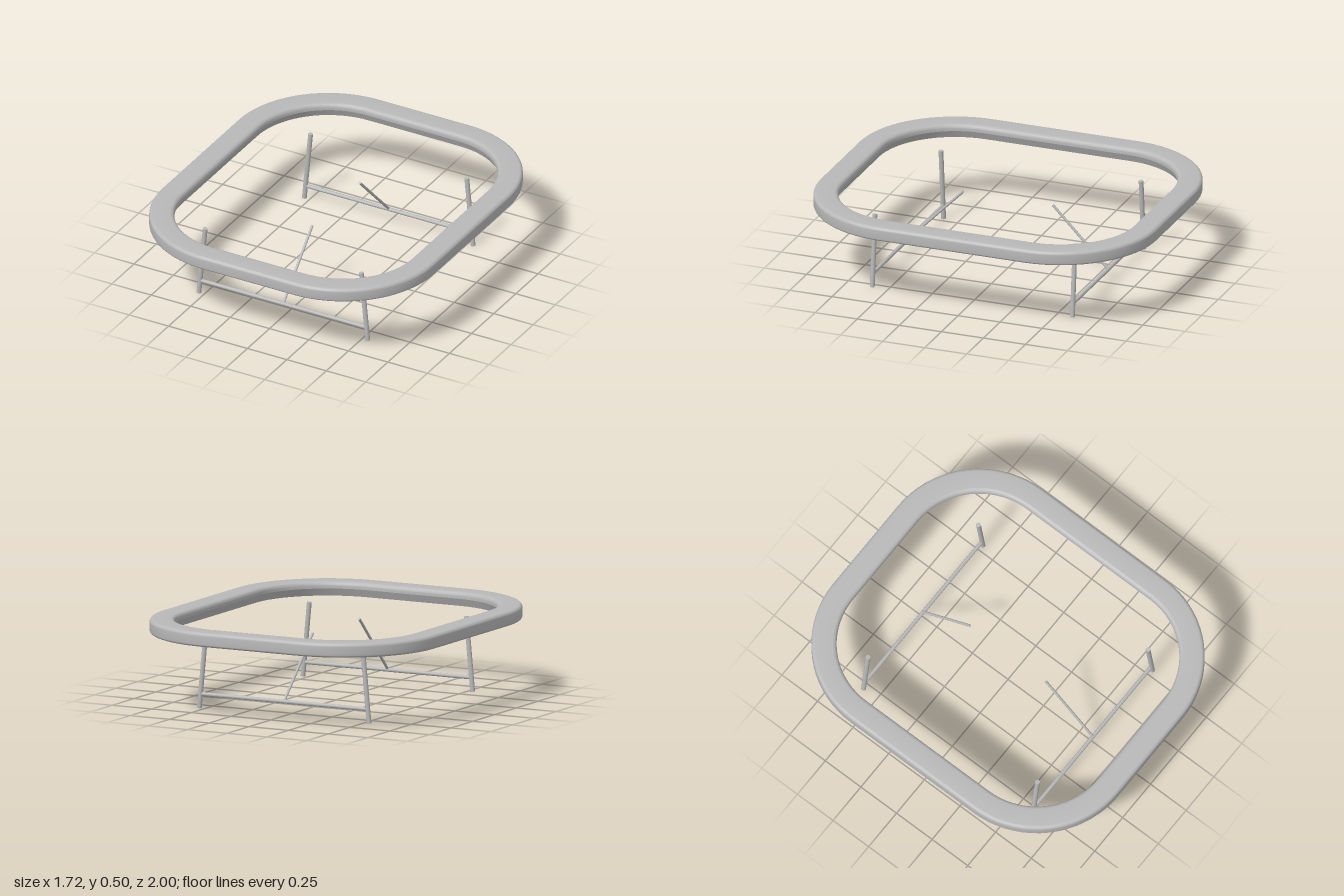
import * as THREE from 'three';
import { toCreasedNormals } from 'three/addons/utils/BufferGeometryUtils.js';

const frameGrey = new THREE.MeshStandardMaterial({ color: 0xb8b8b8 });
frameGrey.name = 'frame grey';

// Points along a quarter round, in (radius, height)
function fillet(cx, cy, r, start) {
  const pts = [];
  for (let i = 0; i <= 6; i++) {
    const a = start + (i / 6) * Math.PI / 2;
    pts.push([cx + r * Math.cos(a), cy + r * Math.sin(a)]);
  }
  return pts;
}

// Rounded rectangular ring: a moulded section swept round four corner centres
function rimGeometry() {
  const profile = [
    [0.45, 0.42],
    ...fillet(0.555, 0.435, 0.015, -Math.PI / 2),
    ...fillet(0.55, 0.48, 0.02, 0),
    ...fillet(0.453, 0.477, 0.023, Math.PI / 2),
    [0.43, 0.463],
  ];
  const centres = [[0.29, 0.43], [-0.29, 0.43], [-0.29, -0.43], [0.29, -0.43]];
  const positions = [], index = [], steps = 18, n = profile.length;
  centres.forEach(([cx, cz], corner) => {
    for (let s = 0; s <= steps; s++) {
      const a = (corner + s / steps) * Math.PI / 2;
      for (const [r, y] of profile) positions.push(cx + r * Math.cos(a), y, cz + r * Math.sin(a));
    }
  });
  const rings = 4 * (steps + 1);
  for (let i = 0; i < rings; i++) {
    const p = i * n, q = ((i + 1) % rings) * n;
    for (let j = 0; j < n; j++) {
      const k = (j + 1) % n;
      index.push(p + j, p + k, q + j, p + k, q + k, q + j);
    }
  }
  const g = new THREE.BufferGeometry();
  g.setAttribute('position', new THREE.Float32BufferAttribute(positions, 3));
  g.setIndex(index);
  return toCreasedNormals(g, 0.38);
}

// Round bar between two points
function bar(name, from, to, radius) {
  const a = new THREE.Vector3(...from), b = new THREE.Vector3(...to);
  const dir = b.clone().sub(a);
  const mesh = new THREE.Mesh(new THREE.CylinderGeometry(radius, radius, dir.length(), 20), frameGrey);
  mesh.position.copy(a).add(b).multiplyScalar(0.5);
  mesh.quaternion.setFromUnitVectors(new THREE.Vector3(0, 1, 0), dir.normalize());
  mesh.name = name;
  return mesh;
}

export function createModel() {
  const model = new THREE.Group();
  model.name = 'tableFrame';

  const rim = new THREE.Mesh(rimGeometry(), frameGrey);
  rim.name = 'tableRim';
  model.add(rim);

  // Leg frames at the front and back
  for (const side of [1, -1]) {
    const z = side * 0.595;
    const frame = new THREE.Group();
    frame.name = side > 0 ? 'frontLegFrame' : 'backLegFrame';
    frame.add(
      bar('leftLeg', [0.535, 0.001, z], [0.495, 0.42, z], 0.0135),
      bar('rightLeg', [-0.535, 0.001, z], [-0.495, 0.42, z], 0.0135),
      bar('crossbar', [-0.527, 0.08, z], [0.527, 0.08, z], 0.011),
      bar('diagonalBrace', [0, 0.083, z], [0, 0.415, side * 0.267], 0.0075),
    );
    model.add(frame);
  }
  return model;
}
